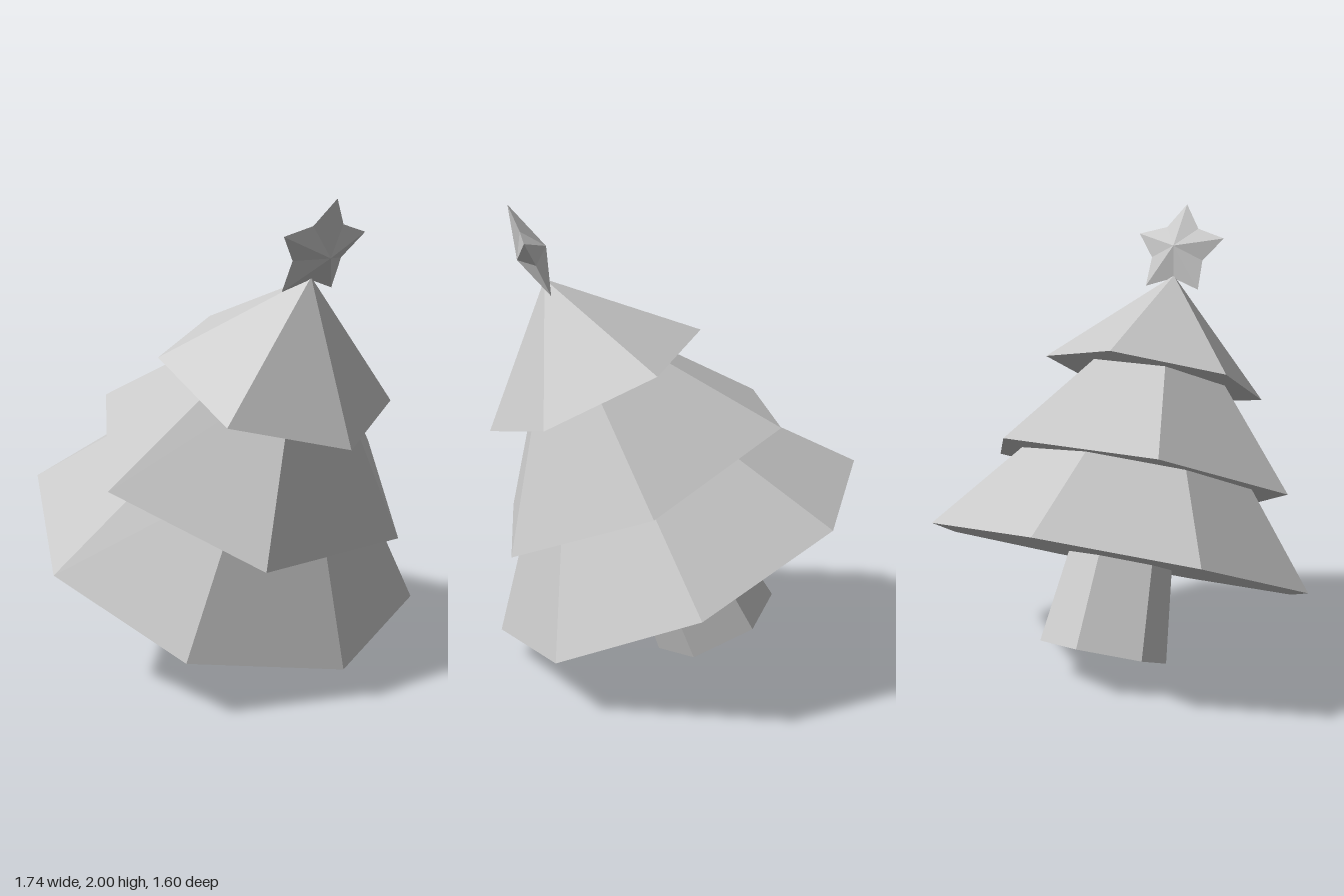
import * as THREE from 'three';

const grey = new THREE.MeshStandardMaterial({ color: 0xc8c8c8, flatShading: true, side: THREE.DoubleSide });
grey.name = 'light grey';

// Ring of faces standing on local height y
function ring(name, rTop, rBottom, height, sides, y, turn, open) {
  const geo = new THREE.CylinderGeometry(rTop, rBottom, height, sides, 1, open, turn);
  const mesh = new THREE.Mesh(geo, grey);
  mesh.name = name;
  mesh.position.y = y + height / 2;
  return mesh;
}

// Five-pointed star with a raised centre on both sides
function starGeometry(outer, inner, depth) {
  const rim = [];
  for (let i = 0; i < 10; i++) {
    const a = (i * Math.PI) / 5;
    const r = i % 2 ? inner : outer;
    rim.push([Math.sin(a) * r, Math.cos(a) * r, 0]);
  }
  const pos = [];
  for (let i = 0; i < 10; i++) {
    const p = rim[i];
    const q = rim[(i + 1) % 10];
    pos.push(...q, ...p, 0, 0, depth);
    pos.push(...p, ...q, 0, 0, -depth);
  }
  const geo = new THREE.BufferGeometry();
  geo.setAttribute('position', new THREE.Float32BufferAttribute(pos, 3));
  geo.computeVertexNormals();
  return geo;
}

export function createModel() {
  const model = new THREE.Group();
  model.name = 'leaningTree';

  // The whole tree leans forward about the base of its lowest tier
  const tree = new THREE.Group();
  tree.name = 'tree';
  tree.position.set(0, 0.495, -0.01);
  tree.rotation.x = THREE.MathUtils.degToRad(25);
  model.add(tree);

  // Hollow trunk, flaring to the foot
  tree.add(ring('trunk', 0.234, 0.284, 0.41, 6, -0.41, 0, true));

  // Three tiers of branches
  tree.add(ring('lowerBranches', 0.383, 0.87, 0.6, 8, 0, 0, false));
  tree.add(ring('middleBranches', 0.205, 0.71, 0.6, 6, 0.398, Math.PI / 6, false));
  tree.add(ring('upperBranches', 0, 0.5, 0.483, 6, 0.837, 0, false));

  // Star on the tip
  const star = new THREE.Mesh(starGeometry(0.22, 0.132, 0.067), grey);
  star.name = 'star';
  star.position.y = 1.44;
  tree.add(star);

  return model;
}
